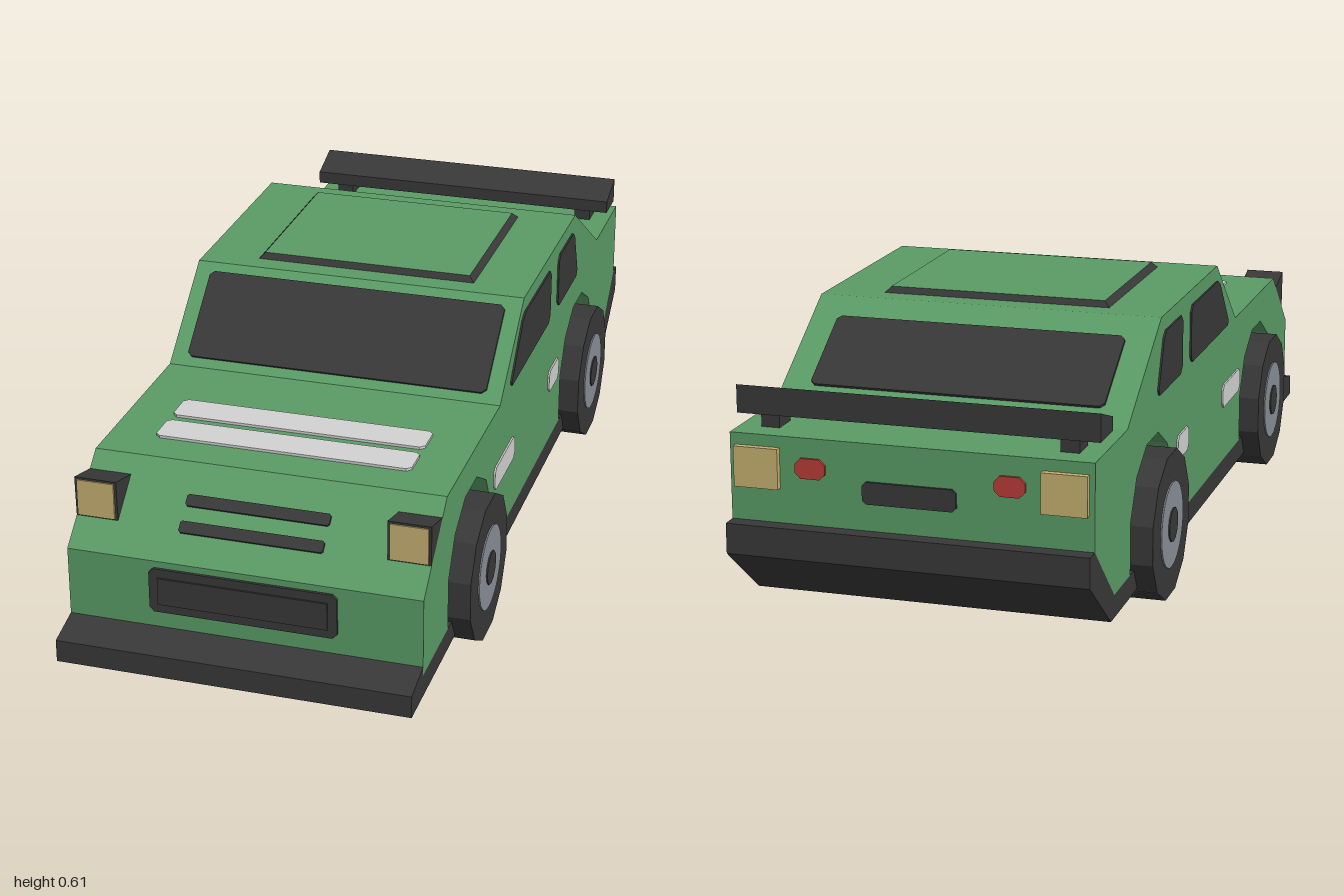
import * as THREE from 'three';

const mat = (name, color) => new THREE.MeshStandardMaterial({ name, color });

export function createModel() {
  const car = new THREE.Group();
  car.name = 'car';
  const green = mat('green paint', 0x5a9c66);
  const dark = mat('dark trim', 0x383838);
  const white = mat('white stripe', 0xd2d2d2);
  const gold = mat('lamp yellow', 0xc6b070);
  const grey = mat('rim grey', 0x8a9099);
  const red = mat('red lamp', 0xb83c36);

  const add = (name, geometry, material, x = 0, y = 0, z = 0) => {
    const mesh = new THREE.Mesh(geometry, material);
    mesh.name = name;
    mesh.position.set(x, y, z);
    car.add(mesh);
    return mesh;
  };
  const box = (name, material, w, h, d, x, y, z) =>
    add(name, new THREE.BoxGeometry(w, h, d), material, x, y, z);

  // Side profile given as [z, y] points, extruded across x
  const profile = (name, material, points, width, x = 0) => {
    const shape = new THREE.Shape(points.map(([z, y]) => new THREE.Vector2(z, y)));
    const g = new THREE.ExtrudeGeometry(shape, { depth: width, bevelEnabled: false });
    g.translate(0, 0, -width / 2).rotateY(-Math.PI / 2);
    return add(name, g, material, x);
  };

  // Cut the corners of a convex outline
  const chamfer = (pts, r) => pts.flatMap((p, i) => {
    const toward = (q) => {
      const t = r / Math.hypot(q[0] - p[0], q[1] - p[1]);
      return [p[0] + (q[0] - p[0]) * t, p[1] + (q[1] - p[1]) * t];
    };
    return [toward(pts[(i + pts.length - 1) % pts.length]), toward(pts[(i + 1) % pts.length])];
  });

  // Thin plate lying on a panel, between two [z, y] points from its lower to upper edge
  const plate = (name, material, width, a, b, x = 0, r = 0.01) => {
    const dz = b[0] - a[0], dy = b[1] - a[1];
    const w = width / 2, h = Math.hypot(dz, dy) / 2;
    const pts = chamfer([[-w, -h], [w, -h], [w, h], [-w, h]], r);
    const g = new THREE.ExtrudeGeometry(new THREE.Shape(pts.map((p) => new THREE.Vector2(...p))),
      { depth: 0.008, bevelEnabled: false });
    g.translate(0, 0, -0.002);
    const m = add(name, g, material, x, (a[1] + b[1]) / 2, (a[0] + b[0]) / 2);
    m.rotation.x = Math.atan2(dz, dy);
    return m;
  };

  // Body shell with wheel arches cut into its lower edge
  const axles = [-0.508, 0.54];
  const arches = axles.flatMap((c) => {
    const pts = [[c - 0.18, 0.1]];
    for (let k = 0; k <= 7; k++) {
      const a = (195 - 30 * k) * Math.PI / 180;
      pts.push([c + 0.186 * Math.cos(a), 0.168 + 0.186 * Math.sin(a)]);
    }
    return [...pts, [c + 0.18, 0.1]];
  });
  profile('body', green, [
    [-0.815, 0.1], ...arches, [0.915, 0.1], [0.915, 0.275], [0.74, 0.425], [0.293, 0.425],
    [0.085, 0.597], [-0.443, 0.597], [-0.72, 0.425], [-0.965, 0.425], [-0.965, 0.24],
  ], 0.774);

  // Sill, front lip and rear bumper in one strip
  profile('skirt', dark, [
    [1, 0.05], [1, 0.1], [0.915, 0.12], [0.915, 0.1], [-0.815, 0.1],
    [-0.965, 0.24], [-1, 0.24], [-1, 0.175], [-0.84, 0.05],
  ], 0.774);

  // Wheels
  const disc = (r, depth, sides, turn) => {
    const g = new THREE.CylinderGeometry(r, r, depth, sides).rotateY(turn).rotateZ(Math.PI / 2).toNonIndexed();
    g.computeVertexNormals();
    return g;
  };
  for (const z of axles) {
    box('archLining', dark, 0.68, 0.26, 0.38, 0, 0.231, z);
    for (const s of [-1, 1]) {
      add('tyre', disc(0.1645, 0.087, 12, Math.PI / 12), dark, s * 0.3865, 0.159, z);
      add('rim', disc(0.095, 0.006, 24, 0), grey, s * 0.43, 0.159, z);
      add('hub', disc(0.038, 0.006, 12, 0), dark, s * 0.433, 0.159, z);
    }
  }

  // Windscreen, rear window, bonnet stripes and vents
  plate('windscreen', dark, 0.7, [0.275, 0.44], [0.105, 0.5805]);
  plate('rearWindow', dark, 0.65, [-0.5, 0.5616], [-0.675, 0.453]);
  plate('bonnetStripe', white, 0.57, [0.655, 0.425], [0.575, 0.425]);
  plate('bonnetStripe', white, 0.57, [0.55, 0.425], [0.47, 0.425]);
  for (const z of [0.807, 0.853]) {
    const y = 0.425 - (z - 0.74) * 0.857;
    plate('noseVent', dark, 0.315, [z + 0.01, y - 0.0086], [z - 0.01, y + 0.0086], 0, 0.004);
  }

  // Grille
  plate('grille', dark, 0.41, [0.915, 0.158], [0.915, 0.26]);
  box('grilleInset', dark, 0.37, 0.062, 0.01, 0, 0.209, 0.92);

  // Roof hatch: dark sloping sides with a painted lid
  const hatch = new THREE.CylinderGeometry(Math.SQRT1_2, Math.SQRT1_2 * 1.05, 1, 4, 1)
    .rotateY(Math.PI / 4).scale(0.49, 0.013, 0.405).toNonIndexed();
  hatch.computeVertexNormals();
  add('roofHatch', hatch, [dark, green, dark], 0, 0.6035, -0.178);

  // Rear wing
  profile('rearWing', dark, [[-0.835, 0.455], [-0.835, 0.485], [-0.925, 0.515], [-0.925, 0.455]], 0.774);

  // Number plate recess
  plate('rearPlate', dark, 0.2, [-0.965, 0.345], [-0.965, 0.298], 0, 0.008);

  // Parts mirrored on both sides
  const frontGlass = chamfer([[0.21, 0.43], [-0.18, 0.43], [-0.18, 0.562], [0.095, 0.562]], 0.015);
  const rearGlass = chamfer([[-0.26, 0.43], [-0.478, 0.43], [-0.425, 0.562], [-0.26, 0.562]], 0.015);
  const patch = (z0, z1) => chamfer([[z0, 0.235], [z1, 0.235], [z1, 0.29], [z0, 0.29]], 0.012);
  for (const s of [-1, 1]) {
    profile('frontSideWindow', dark, frontGlass, 0.008, s * 0.387);
    profile('rearSideWindow', dark, rearGlass, 0.008, s * 0.387);
    profile('doorPatch', white, patch(0.34, 0.155), 0.008, s * 0.387);
    profile('rearPatch', white, patch(-0.19, -0.292), 0.008, s * 0.387);

    // Pop-up headlamps
    profile('headlampHousing', dark,
      [[0.857, 0.324], [0.86, 0.416], [0.775, 0.394]], 0.093, s * 0.3405);
    box('headlampLens', gold, 0.082, 0.082, 0.006, s * 0.3405, 0.37, 0.86);

    box('wingSupport', dark, 0.04, 0.034, 0.06, s * 0.32, 0.44, -0.88);
    box('tailLamp', gold, 0.096, 0.086, 0.016, s * 0.327, 0.357, -0.971);
    plate('brakeLamp', red, 0.065, [-0.965, 0.383], [-0.965, 0.34], s * 0.212, 0.012);
  }
  return car;
}
